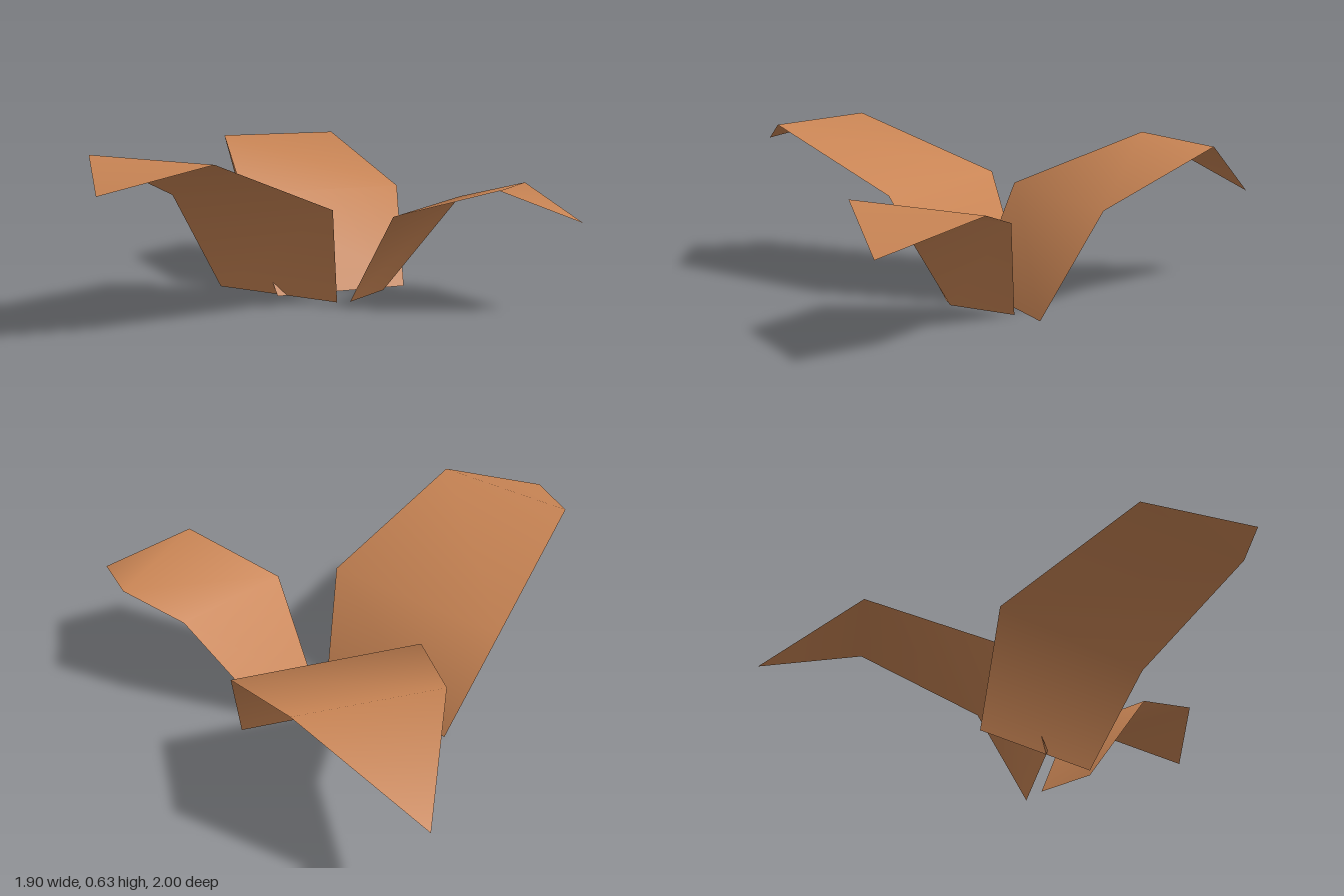
import * as THREE from 'three';

// One folded leaf: left/right edge points from base to shoulder, closed by a pointed tip
function makeLeaf(name, rows, tip, material) {
  const points = [...rows.flat(), tip];
  const index = [];
  for (let i = 0; i < rows.length - 1; i++) {
    const a = i * 2, b = a + 1, c = a + 2, d = a + 3;
    index.push(a, b, c, b, d, c);
  }
  const last = (rows.length - 1) * 2;
  index.push(last, last + 1, last + 2);

  const geometry = new THREE.BufferGeometry();
  geometry.setAttribute('position', new THREE.Float32BufferAttribute(points.flat(), 3));
  geometry.setIndex(index);
  geometry.computeVertexNormals();
  const mesh = new THREE.Mesh(geometry, material);
  mesh.name = name;
  return mesh;
}

export function createModel() {
  const group = new THREE.Group();
  group.name = 'leafCluster';
  const leafBrown = new THREE.MeshStandardMaterial({ color: 0xc88454, side: THREE.DoubleSide });
  leafBrown.name = 'leaf brown';

  // Leaf spreading to the right (-x)
  group.add(makeLeaf('rightLeaf', [
    [[0.16, 0, 0.12], [0.115, 0, -0.455]],
    [[-0.03, 0.405, 0.235], [-0.09, 0.405, -0.535]],
    [[-0.65, 0.63, 0.185], [-0.69, 0.63, -0.39]],
  ], [-0.955, 0.53, -0.08], leafBrown));

  // Large leaf spreading to the back left
  group.add(makeLeaf('backLeaf', [
    [[0.105, 0, -0.14], [0.60, 0, 0.15]],
    [[0.145, 0.40, -0.355], [0.765, 0.40, 0.0]],
    [[0.50, 0.595, -0.76], [0.95, 0.595, -0.49]],
  ], [0.86, 0.355, -1.0], leafBrown));

  // Small leaf drooping to the front
  group.add(makeLeaf('frontLeaf', [
    [[0.475, 0, 0.13], [0.20, 0, 0.155]],
    [[0.635, 0.40, 0.395], [0.135, 0.375, 0.40]],
    [[0.71, 0.47, 0.65], [0.25, 0.495, 0.79]],
  ], [0.53, 0.36, 0.995], leafBrown));

  return group;
}
